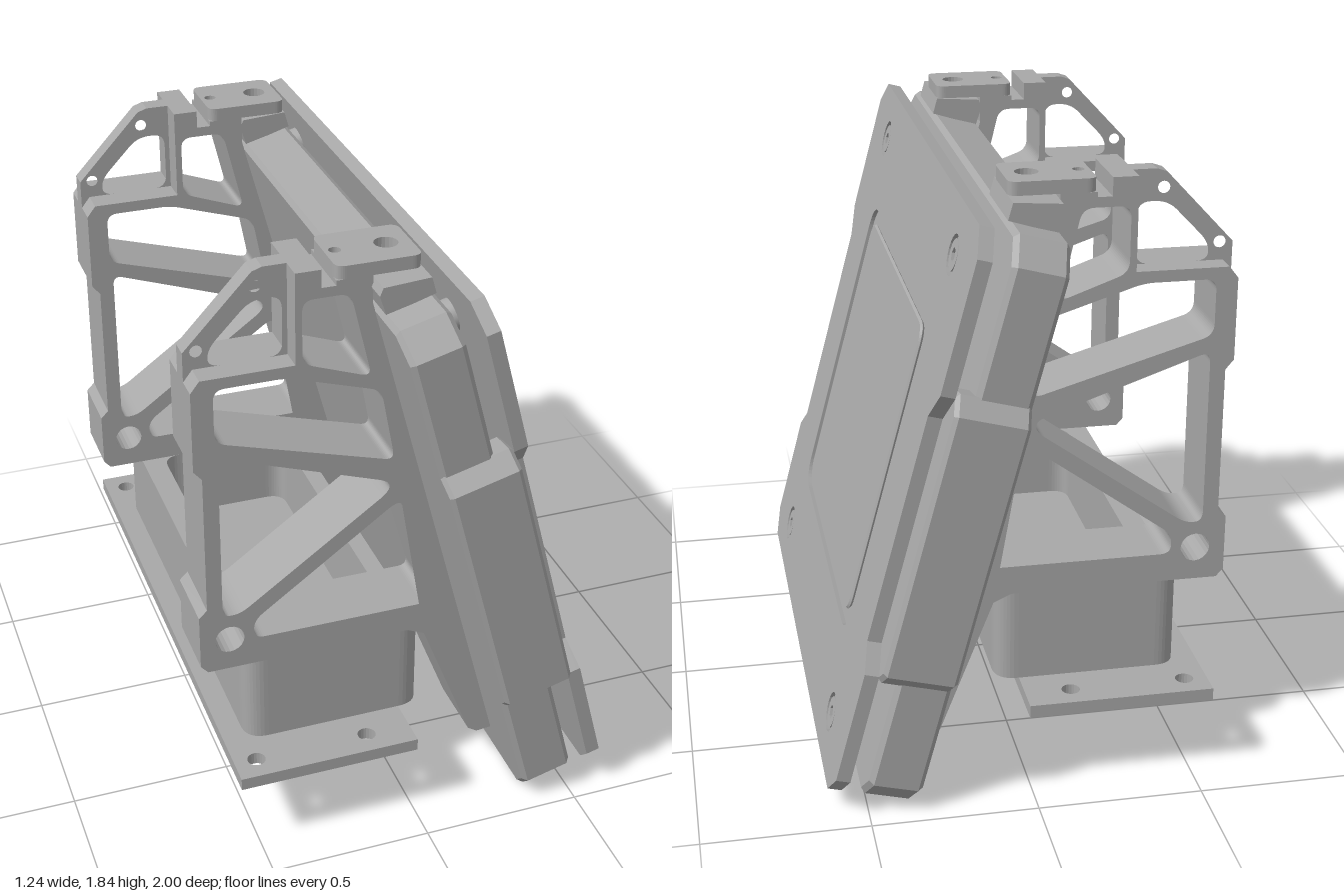
import * as THREE from 'three';

const grey = new THREE.MeshStandardMaterial({ color: 0xa8a8a8 });
grey.name = 'machined grey';

// Closed polygon whose corners are rounded by radius r
function poly(points, r = 0, Type = THREE.Shape) {
  const path = new Type();
  const v = points.map(([x, y]) => new THREE.Vector2(x, y));
  v.forEach((p, i) => {
    const a = v[(i + v.length - 1) % v.length], b = v[(i + 1) % v.length];
    const cut = (q) => p.clone().add(q.clone().sub(p).setLength(Math.min(r, p.distanceTo(q) * 0.45)));
    const s = r ? cut(a) : p, e = r ? cut(b) : p;
    if (i === 0) path.moveTo(s.x, s.y); else path.lineTo(s.x, s.y);
    if (r) path.quadraticCurveTo(p.x, p.y, e.x, e.y);
  });
  path.closePath();
  return path;
}
const rect = (x0, x1, y0, y1) => [[x0, y0], [x1, y0], [x1, y1], [x0, y1]];
const circle = (x, y, r) => new THREE.Path().absarc(x, y, r, 0, Math.PI * 2, true);

function slab(parent, name, shape, holes, from, to, bevel = 0) {
  shape.holes.push(...holes);
  const geo = new THREE.ExtrudeGeometry(shape, {
    depth: to - from - 2 * bevel, curveSegments: 10, bevelEnabled: bevel > 0,
    bevelSize: bevel, bevelOffset: -bevel, bevelThickness: bevel, bevelSegments: 1,
  });
  geo.translate(0, 0, from + bevel);
  const mesh = new THREE.Mesh(geo, grey);
  mesh.name = name;
  parent.add(mesh);
  return mesh;
}
// Same, but lying flat: shape y runs along -z, thickness along y
const flat = (...args) => slab(...args).rotateX(-Math.PI / 2);

function addBracket(root, side) {
  const g = new THREE.Group();
  g.name = side > 0 ? 'leftBracket' : 'rightBracket';
  root.add(g);
  const [z0, z1] = side > 0 ? [0.505, 0.715] : [-0.715, -0.505];

  // Truss side frame
  const outline = [
    [-0.627, 0.6], [-0.605, 0.575], [0.03, 0.575], [0.085, 0.55], [0.25, 0.13], [0.28, 0.11], [0.332, 0.115],
    [-0.1, 1.72], [-0.1, 1.805], [-0.207, 1.805], [-0.207, 1.79], [-0.25, 1.79], [-0.25, 1.845],
    [-0.325, 1.845], [-0.325, 1.565], [-0.6, 1.565], [-0.627, 1.53],
    [-0.627, 1.28], [-0.602, 1.25], [-0.602, 0.8], [-0.627, 0.775],
  ];
  const windows = [
    [[-0.305, 1.76], [-0.165, 1.76], [-0.1, 1.49], [-0.305, 1.565]],
    [[-0.563, 1.53], [-0.35, 1.53], [-0.07, 1.44], [-0.025, 1.2], [-0.563, 1.36]],
    [[-0.555, 1.31], [-0.04, 1.13], [-0.04, 1.095], [-0.5, 0.765], [-0.555, 0.765]],
    [[-0.46, 0.73], [-0.02, 1.05], [0.005, 1.045], [0.11, 0.665], [-0.46, 0.665]],
  ].map((p) => poly(p, 0.035, THREE.Path));
  // Two slots beside the panel body
  const slots = [[0.073, 0.985, 0.105, 0.99], [0.096, 0.885, 0.127, 0.89]].map(([a, b, c, d]) =>
    poly([[a, b], [c, d], [c + 0.016, d - 0.06], [a + 0.016, b - 0.06]], 0, THREE.Path));
  slab(g, 'trussFrame', poly(outline), [...windows, ...slots, circle(-0.535, 0.68, 0.045)], z0, z1);

  // Thin upper ear
  const ear = poly([[-0.627, 1.53], [-0.627, 1.62], [-0.425, 1.835], [-0.395, 1.845], [-0.305, 1.845], [-0.305, 1.53]]);
  const earHole = poly([[-0.555, 1.565], [-0.555, 1.62], [-0.43, 1.75], [-0.34, 1.75], [-0.34, 1.565]], 0.04, THREE.Path);
  slab(g, 'ear', ear, [earHole, circle(-0.588, 1.62, 0.018), circle(-0.417, 1.79, 0.018)],
    side * 0.615 - 0.03, side * 0.615 + 0.03);

  // Top mounting flange and the block that grips the panel
  flat(g, 'topFlange', poly(rect(-0.207, 0.046, -z1, -z0), 0.03),
    [circle(-0.025, -side * 0.61, 0.035), circle(-0.175, -side * 0.61, 0.018)], 1.805, 1.845);
  const grip = [[-0.105, 1.77], [-0.095, 1.795], [0.046, 1.805], [0.06, 1.755], [-0.085, 1.71]];
  slab(g, 'gripBlock', poly(grip), [], side > 0 ? 0.505 : -0.78, side > 0 ? 0.78 : -0.505);
}

function addPanel(root) {
  // Local axes: x across, y up the slope, z out of the panel face
  const tilt = Math.PI / 12, s = Math.sin(tilt), c = Math.cos(tilt);
  const g = new THREE.Group();
  g.name = 'tiltedPanel';
  g.applyMatrix4(new THREE.Matrix4().makeBasis(
    new THREE.Vector3(0, 0, -1), new THREE.Vector3(-s, c, 0), new THREE.Vector3(c, s, 0)));
  g.position.set(0.36, 0, 0);
  root.add(g);

  const w = 0.955, k = 0.075, top = 1.77;
  const mirrorX = (half) => [...half, ...half.map(([x, y]) => [-x, y]).reverse()];
  const body = mirrorX([[w - k, 0], [w, k], [w, top - k], [w - k, top]]);
  slab(g, 'panelBody', poly(body), [], 0, 0.165, 0.015);

  // Side bumpers
  for (const m of [-1, 1]) {
    const bumper = [[0.86, 0.42], [0.95, 0.41], [1, 0.455], [1, 1.265], [0.95, 1.315], [0.86, 1.3]];
    slab(g, m > 0 ? 'rightBumper' : 'leftBumper', poly(bumper.map(([x, y]) => [m * x, y])), [], 0, 0.222, 0.012);
  }

  // Cover plate, notched at the bumpers, with a shallow rounded groove
  const cover = () => poly(mirrorX([[w - k, 0], [w, k], [w, 0.43], [0.88, 0.5], [0.88, 1.21], [w, 1.3], [w, top - k], [w - k, top]]));
  const bolts = [[-0.675, 0.141], [0.675, 0.141], [-0.675, 1.621], [0.675, 1.621]];
  const bores = bolts.map(([x, y]) => circle(x, y, 0.06));
  slab(g, 'coverBase', cover(), [], 0.222, 0.252);
  slab(g, 'coverFace', cover(), [poly(rect(-0.595, 0.595, 0.365, 1.405), 0.09, THREE.Path), ...bores], 0.252, 0.265);
  slab(g, 'coverCentre', poly(rect(-0.547, 0.547, 0.41, 1.36), 0.06), [], 0.252, 0.265, 0.006);

  // Socket bolts with spacers behind the cover
  for (const [x, y] of bolts) {
    const hex = [0, 1, 2, 3, 4, 5].map((i) => [x + 0.022 * Math.cos(i * Math.PI / 3), y + 0.022 * Math.sin(i * Math.PI / 3)]);
    const head = new THREE.Shape().absarc(x, y, 0.047, 0, Math.PI * 2);
    slab(g, 'boltHead', head, [poly(hex, 0, THREE.Path)], 0.252, 0.263);
    const spacer = new THREE.Mesh(new THREE.CylinderGeometry(0.05, 0.05, 0.062, 28), grey);
    spacer.name = 'spacer';
    spacer.rotation.x = Math.PI / 2;
    spacer.position.set(x, y, 0.193);
    g.add(spacer);
  }
}

export function createModel() {
  const root = new THREE.Group();
  root.name = 'tiltedPanelOnStand';

  // Base plate with bolt holes
  const holes = [];
  for (const m of [-1, 1]) {
    holes.push(circle(-0.49, m * 0.81, 0.028), circle(-0.135, m * 0.81, 0.028),
      circle(-0.35, m * 0.62, 0.022), circle(-0.08, m * 0.62, 0.022));
  }
  flat(root, 'basePlate', poly(rect(-0.56, 0.005, -0.885, 0.885)), holes, 0.245, 0.285);

  // Hollow pedestal
  const outer = () => poly(rect(-0.49, 0.077, -0.715, 0.715), 0.07);
  flat(root, 'pedestalFloor', outer(), [], 0.285, 0.33);
  flat(root, 'pedestalWall', outer(), [poly(rect(-0.415, 0.02, -0.505, 0.505), 0.06, THREE.Path)], 0.33, 0.575);

  addBracket(root, 1);
  addBracket(root, -1);
  addPanel(root);
  return root;
}
